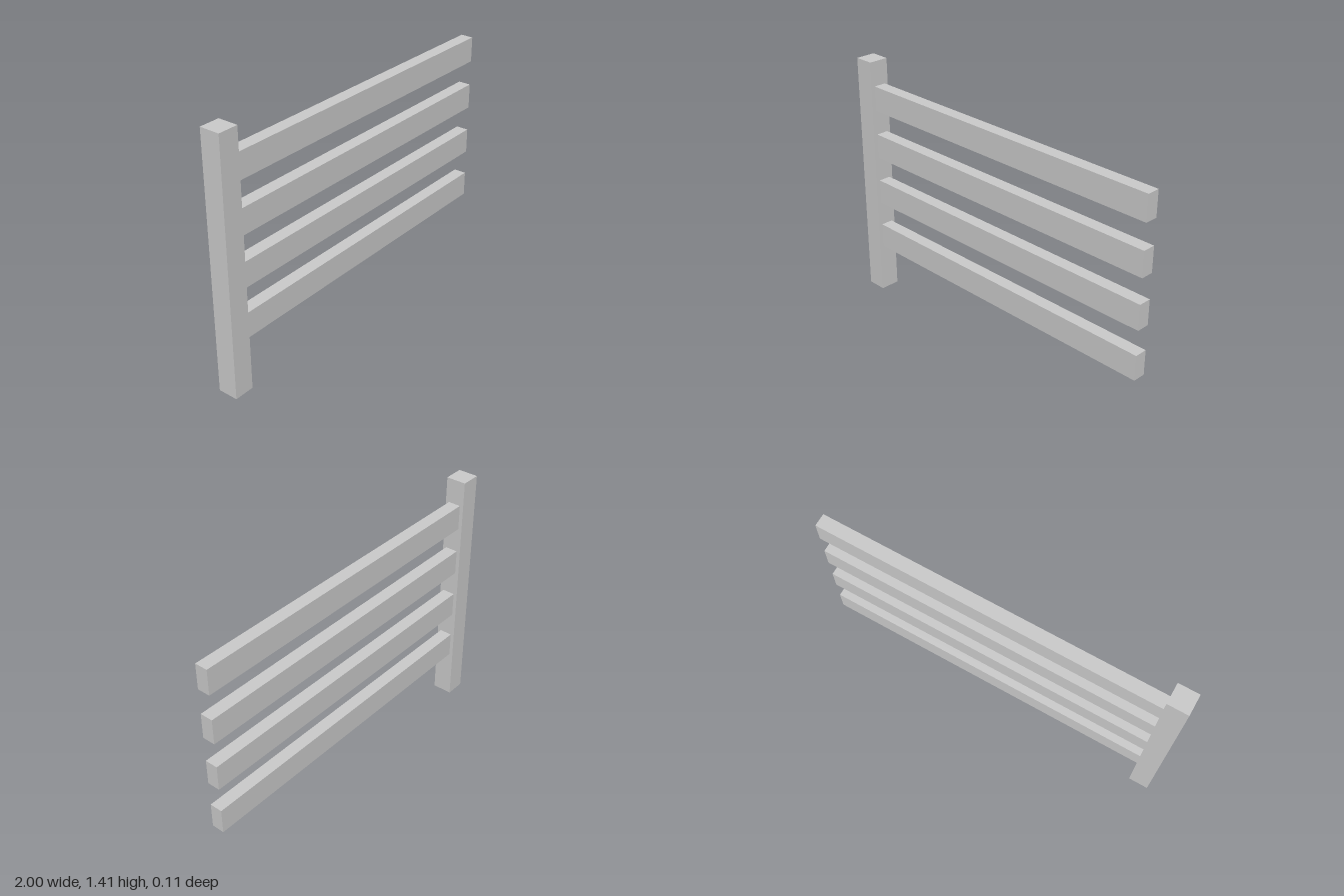
import * as THREE from 'three';

const POST = { width: 0.113, height: 1.415 };
const RAIL = { height: 0.142, depth: 0.071, count: 4, firstY: 0.354, spacing: 0.283 };

export function createModel() {
  const group = new THREE.Group();
  group.name = 'fence';
  const material = new THREE.MeshStandardMaterial({ color: 0xcccccc });

  const addBox = (name, size, position) => {
    const mesh = new THREE.Mesh(new THREE.BoxGeometry(...size), material);
    mesh.name = name;
    mesh.position.set(...position);
    group.add(mesh);
  };

  // Square upright post at one end
  addBox('post', [POST.width, POST.height, POST.width], [-1 + POST.width / 2, POST.height / 2, 0]);

  // Evenly spaced rails, butted against the post and free at the other end
  const length = 2 - POST.width;
  for (let i = 0; i < RAIL.count; i++) {
    addBox(`rail${i + 1}`, [length, RAIL.height, RAIL.depth],
      [1 - length / 2, RAIL.firstY + i * RAIL.spacing, 0]);
  }
  return group;
}
